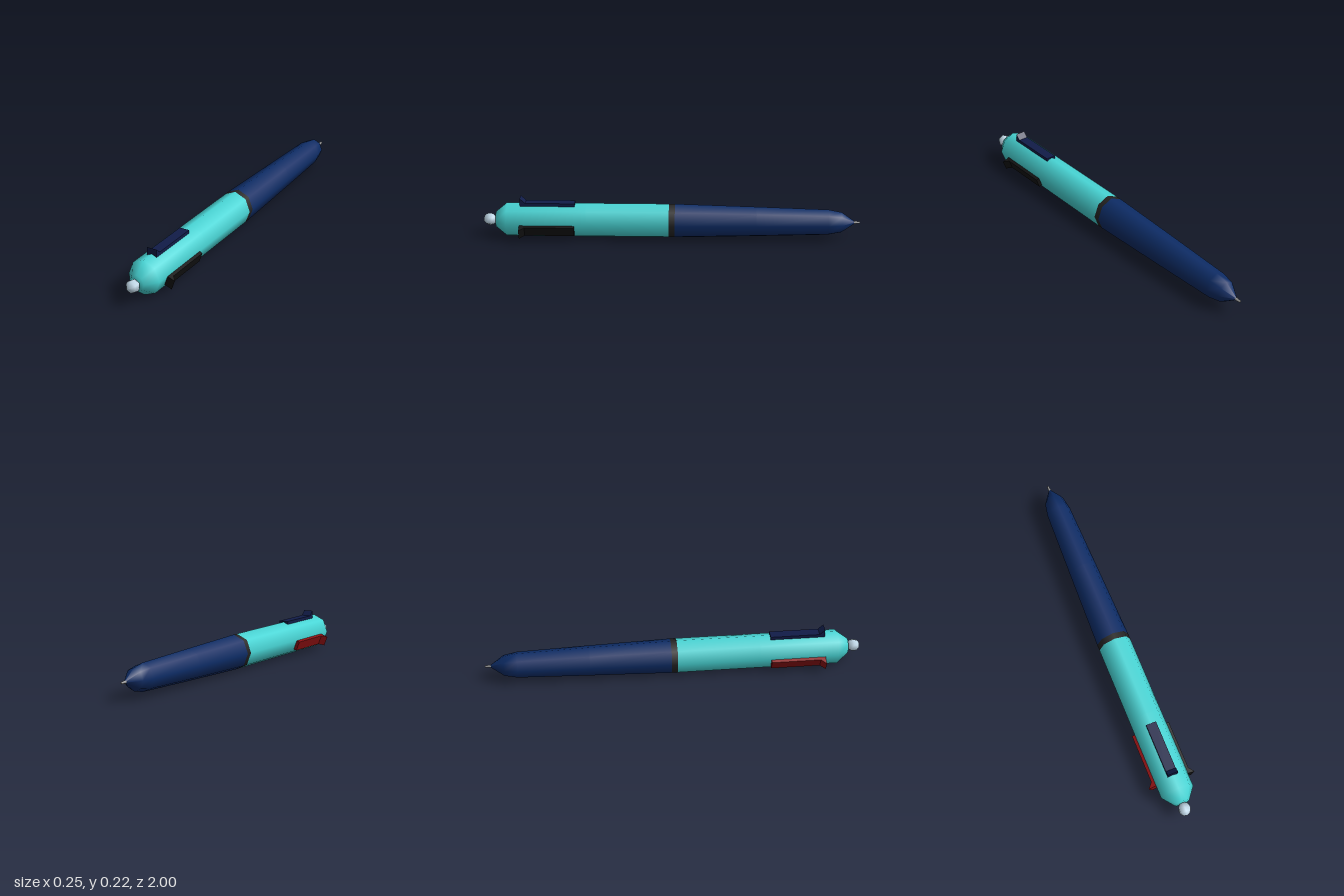
import * as THREE from 'three';

const AXIS_Y = 0.097; // height of the pen's long axis

export function createModel() {
  const group = new THREE.Group();

  // Turned part along z from [z, radius] pairs, z rising
  function turned(name, color, profile, sides, squeeze = 1) {
    const points = profile.map(([z, r]) => new THREE.Vector2(r, z));
    const geometry = new THREE.LatheGeometry(points, sides);
    geometry.rotateX(Math.PI / 2).scale(squeeze, 1, 1);
    const mesh = new THREE.Mesh(geometry, new THREE.MeshStandardMaterial({ color }));
    mesh.name = name;
    mesh.position.y = AXIS_Y;
    group.add(mesh);
  }

  // Eight-sided barrel, slightly taller than wide
  const SQUEEZE = 0.93;
  turned('upperBarrel', 0x48d6d6,
    [[0.012, 0.095], [0.45, 0.095], [0.87, 0.095], [0.932, 0.043], [0.935, 0]], 8, SQUEEZE);
  turned('middleRing', 0x222222, [[-0.02, 0.095], [0.012, 0.095]], 8, SQUEEZE);
  turned('grip', 0x0d2c66,
    [[-0.972, 0.005], [-0.9, 0.057], [-0.83, 0.071], [-0.45, 0.083], [-0.02, 0.095]], 8, SQUEEZE);

  // Writing point
  turned('tip', 0x999999, [[-1, 0], [-0.997, 0.006], [-0.955, 0.009]], 6);

  // Round knob on the end
  const ball = [];
  for (let i = 0; i <= 6; i++) {
    const a = (i / 6) * Math.PI;
    ball.push([0.965 - 0.035 * Math.cos(a), 0.035 * Math.sin(a)]);
  }
  turned('endBall', 0xc4dcec, ball, 6);

  // Colour sliders: flat strip with a raised thumb catch, side profile in (z, radius)
  const side = new THREE.Shape([
    [0.51, 0.07], [0.8, 0.07], [0.8, 0.126], [0.772, 0.1], [0.51, 0.1],
  ].map(([z, r]) => new THREE.Vector2(z, r)));
  const sliderGeometry = new THREE.ExtrudeGeometry(side, { depth: 0.054, bevelEnabled: false });
  sliderGeometry.translate(0, 0, -0.027).rotateY(-Math.PI / 2);

  const sliders = [
    ['blueSlider', 0x111c48, 0],
    ['blackSlider', 0x121212, -110],
    ['redSlider', 0x8e1012, 111],
  ];
  for (const [name, color, degrees] of sliders) {
    const mesh = new THREE.Mesh(sliderGeometry, new THREE.MeshStandardMaterial({ color }));
    mesh.name = name;
    mesh.position.y = AXIS_Y;
    mesh.rotation.z = THREE.MathUtils.degToRad(degrees);
    group.add(mesh);
  }

  return group;
}
